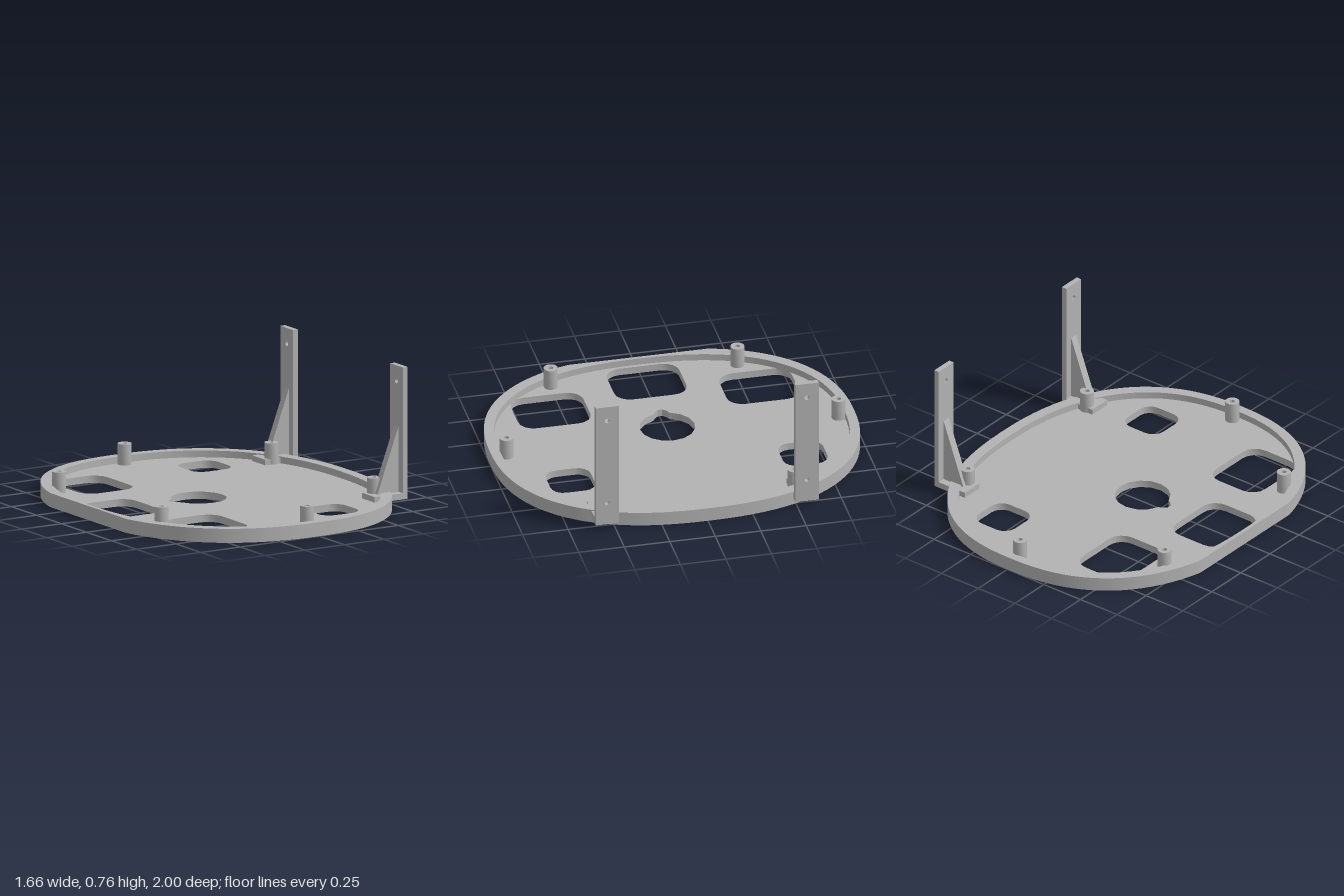
import * as THREE from 'three';
import { toCreasedNormals } from 'three/addons/utils/BufferGeometryUtils.js';

const FLOOR = 0.04, RIM = 0.077, POST_TOP = 0.155;

// Squarish oval in plan, optionally cut flat on its -x side
function oval(a, b, flatX = -Infinity, n = 2.35) {
  const pts = [], e = 2 / n, cx = -0.02;
  const power = (v) => Math.sign(v) * Math.abs(v) ** e;
  for (let i = 0; i < 96; i++) {
    const t = (i / 96) * Math.PI * 2;
    pts.push(new THREE.Vector2(Math.max(flatX, cx + a * power(Math.cos(t))), b * power(Math.sin(t))));
  }
  return pts;
}

function roundedRect(x0, x1, z0, z1, r) {
  const pts = [];
  const corners = [[x1 - r, z1 - r], [x0 + r, z1 - r], [x0 + r, z0 + r], [x1 - r, z0 + r]];
  corners.forEach(([x, z], c) => {
    for (let i = 0; i <= 4; i++) {
      const t = (c + i / 4) * Math.PI / 2;
      pts.push(new THREE.Vector2(x + r * Math.cos(t), -(z + r * Math.sin(t))));
    }
  });
  return pts;
}

function circle(x, y, r, sides = 12) {
  return Array.from({ length: sides }, (_, i) => {
    const t = (i / sides) * Math.PI * 2;
    return new THREE.Vector2(x + r * Math.cos(t), y + r * Math.sin(t));
  });
}

// Extrudes an outline with holes
function slab(outline, holes, depth) {
  const shape = new THREE.Shape(outline);
  shape.holes = holes.map((h) => new THREE.Path(h));
  return new THREE.ExtrudeGeometry(shape, { depth, bevelEnabled: false });
}

// Extrudes a plan outline upwards from y0 to y1
function planSlab(outline, holes, y0, y1) {
  const g = slab(outline, holes, y1 - y0).rotateX(-Math.PI / 2).translate(0, y0, 0);
  return toCreasedNormals(g, 0.6);
}

export function createModel() {
  const model = new THREE.Group();
  model.name = 'mountingPlate';
  const grey = new THREE.MeshStandardMaterial({ color: 0xb2b2b2 });
  grey.name = 'grey plastic';
  const add = (parent, name, geometry) => {
    const mesh = new THREE.Mesh(geometry, grey);
    mesh.name = name;
    parent.add(mesh);
    return mesh;
  };

  const standoffs = [
    [-0.69, -0.515], [-0.69, 0.51], [-0.02, -0.915],
    [-0.02, 0.91], [0.655, -0.515], [0.655, 0.51],
  ];

  // Central opening: a circle with a small rounded key notch towards -x
  const keyhole = [];
  for (let i = 0; i <= 14; i++) {
    const t = -Math.PI + 0.3 + (i / 14) * (2 * Math.PI - 0.6);
    keyhole.push(new THREE.Vector2(-0.13 + 0.15 * Math.cos(t), 0.15 * Math.sin(t)));
  }
  for (const [x, y] of [[-0.295, 0.035], [-0.315, 0.015], [-0.315, -0.01], [-0.295, -0.03]]) {
    keyhole.push(new THREE.Vector2(x, y));
  }

  // Floor with its openings and screw holes
  const outer = oval(0.85, 1, -0.83);
  const openings = [
    roundedRect(-0.605, -0.272, -0.775, -0.378, 0.085),
    roundedRect(-0.605, -0.272, 0.37, 0.768, 0.085),
    roundedRect(-0.79, -0.455, -0.2, 0.197, 0.085),
    roundedRect(0.19, 0.433, -0.765, -0.52, 0.07),
    roundedRect(0.19, 0.433, 0.512, 0.757, 0.07),
    keyhole,
    ...standoffs.map(([x, z]) => circle(x, -z, 0.014)),
  ];
  add(model, 'floor', planSlab(outer, openings, 0, FLOOR));

  // Raised rim
  add(model, 'rim', planSlab(outer, [oval(0.79, 0.947)], FLOOR, RIM));

  // Hollow standoffs
  for (const [x, z] of standoffs) {
    add(model, 'standoff', planSlab(circle(x, -z, 0.038, 16), [circle(x, -z, 0.014)], FLOOR, POST_TOP));
  }

  // Upright brackets: drilled post, foot and sloping gusset
  for (const z of [-0.55, 0.547]) {
    const bracket = new THREE.Group();
    bracket.name = z < 0 ? 'backBracket' : 'frontBracket';
    bracket.position.z = z;
    model.add(bracket);

    const rect = [[-0.064, 0.037], [0.064, 0.037], [0.064, 0.76], [-0.064, 0.76]]
      .map(([u, v]) => new THREE.Vector2(u, v));
    const post = slab(rect, [circle(0, 0.168, 0.014), circle(0, 0.675, 0.014)], 0.03);
    add(bracket, 'post', post.rotateY(Math.PI / 2).translate(0.775, 0, 0));

    add(bracket, 'foot', new THREE.BoxGeometry(0.178, 0.034, 0.128)).position.set(0.686, 0.054, 0);

    const triangle = [[0.64, 0.07], [0.776, 0.07], [0.776, 0.435]]
      .map(([x, y]) => new THREE.Vector2(x, y));
    add(bracket, 'gusset', slab(triangle, [], 0.044).translate(0, 0, -0.022));
  }
  return model;
}
